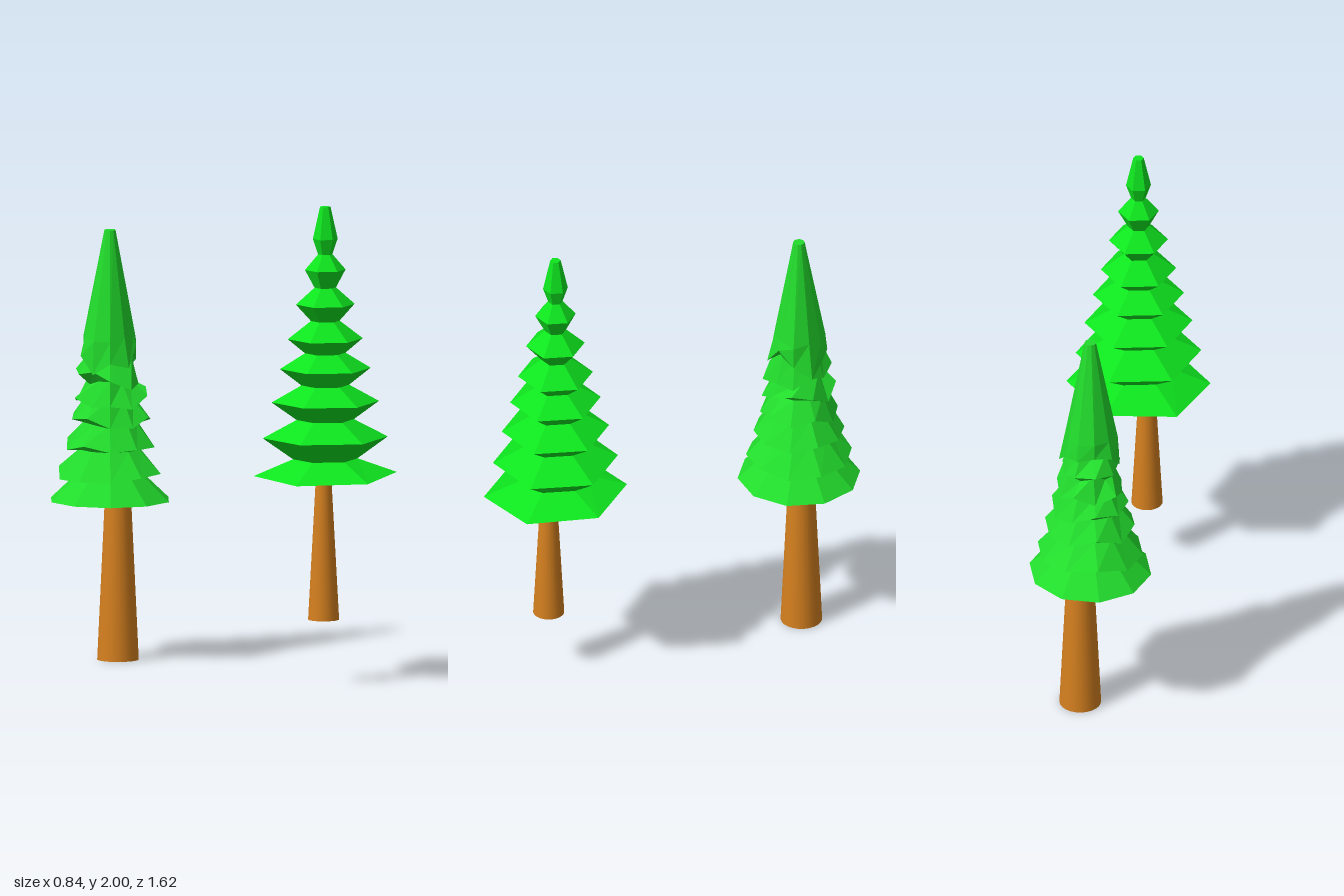
import * as THREE from 'three';

// Repeatable value in -1..1 for uneven needles
function wobble(a, b) {
  const s = Math.sin(a * 12.9898 + b * 78.233) * 43758.5453;
  return (s - Math.floor(s)) * 2 - 1;
}

// Faceted foliage: rings run top to bottom as [y, radius, yWobble, radiusWobble, tiltX, tiltZ]
function foliage(name, sides, rings, color, x, z) {
  const geo = new THREE.CylinderGeometry(1, 1, 1, sides, rings.length - 1, true);
  const pos = geo.attributes.position;
  for (let row = 0; row < rings.length; row++) {
    const [y, r, dy = 0, dr = 0, tiltX = 0, tiltZ = 0] = rings[row];
    for (let i = 0; i <= sides; i++) {
      const k = i % sides;
      const a = (k / sides) * Math.PI * 2;
      const rad = r + dr * wobble(k + 1, row + 3);
      const h = y + dy * wobble(k + 5, row + 1) + tiltX * Math.sin(a) + tiltZ * Math.cos(a);
      pos.setXYZ(row * (sides + 1) + i, rad * Math.sin(a), h, rad * Math.cos(a));
    }
  }
  geo.computeVertexNormals();
  const mesh = new THREE.Mesh(geo, new THREE.MeshStandardMaterial({ color, flatShading: true }));
  mesh.position.set(x, 0, z);
  mesh.name = name;
  return mesh;
}

// Smooth tapered trunk
function trunk(name, rTop, rBottom, y0, y1, x, z) {
  const mesh = new THREE.Mesh(
    new THREE.CylinderGeometry(rTop, rBottom, y1 - y0, 24),
    new THREE.MeshStandardMaterial({ color: 0xd5801f })
  );
  mesh.position.set(x, (y0 + y1) / 2, z);
  mesh.name = name;
  return mesh;
}

export function createModel() {
  const model = new THREE.Group();
  model.name = 'pineTrees';

  // Front tree: regular six-sided tiers
  const front = new THREE.Group();
  front.name = 'frontTree';
  front.add(trunk('frontTrunk', 0.032, 0.065, 0.27, 0.875, 0.13, 0.53));
  front.add(foliage('frontFoliage', 6, [
    [2, 0], [2, 0.022],
    [1.865, 0.052], [1.8, 0.03],
    [1.735, 0.085], [1.66, 0.045],
    [1.59, 0.123], [1.52, 0.06],
    [1.445, 0.157], [1.385, 0.085],
    [1.32, 0.19], [1.25, 0.1],
    [1.18, 0.225], [1.105, 0.12],
    [1.03, 0.262], [0.94, 0.135],
    [0.876, 0.3, 0, 0, 0.01, -0.009],
    [0.866, 0.13], [0.866, 0],
  ], 0x0ee51e, 0.157, 0.505));
  model.add(front);

  // Back tree: ten-sided tiers, increasingly ragged below a tall tip
  const back = new THREE.Group();
  back.name = 'backTree';
  back.add(trunk('backTrunk', 0.05, 0.087, 0, 0.785, -0.13, -0.56));
  back.add(foliage('backFoliage', 10, [
    [1.81, 0], [1.81, 0.024],
    [1.36, 0.108, 0.01, 0.008],
    [1.27, 0.125, 0.06, 0.012], [1.28, 0.085, 0.02, 0.01],
    [1.19, 0.135, 0.045, 0.018], [1.18, 0.09, 0.02, 0.01],
    [1.11, 0.148, 0.045, 0.015], [1.1, 0.105, 0.015, 0.008],
    [1.01, 0.168, 0.035, 0.01], [1.0, 0.118, 0.01],
    [0.915, 0.19, 0.025, 0.006], [0.89, 0.128],
    [0.79, 0.222, 0.022], [0.79, 0.135],
    [0.675, 0.257], [0.675, 0],
  ], 0x22dc2c, -0.175, -0.555));
  model.add(back);

  return model;
}
